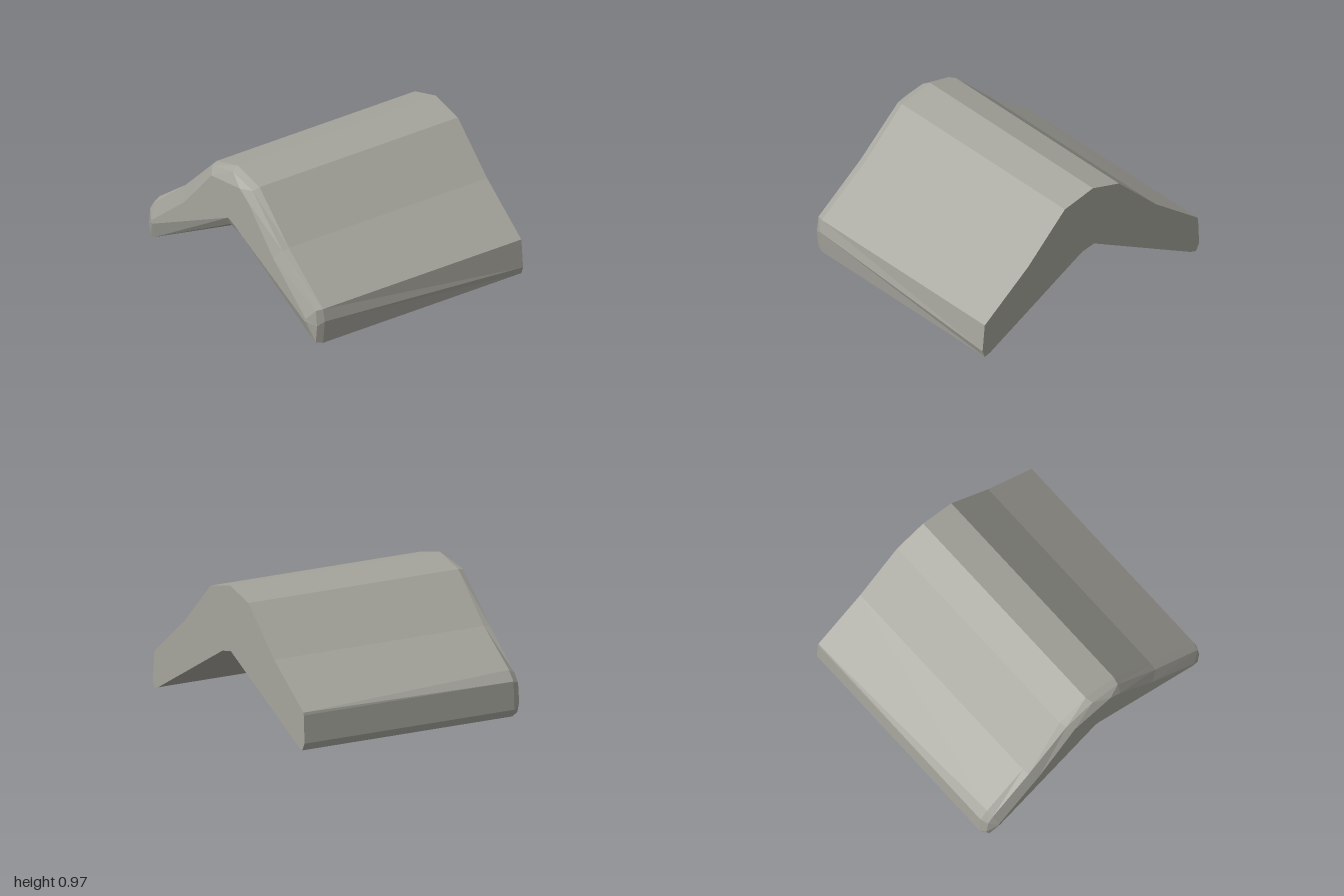
import * as THREE from 'three';

// Cross-sections, counter-clockwise seen from the front, starting at the right foot
const back = [
  [0.93, 0.02], [0.98, 0.005], [1, 0.06], [0.98, 0.27], [0.58, 0.58], [0.24, 0.91], [-0.02, 0.97], [-0.26, 0.9],
  [-0.6, 0.57], [-0.985, 0.28], [-0.99, 0.26], [-1, 0.06], [-0.97, 0.005], [-0.92, 0.02], [-0.03, 0.5], [0.08, 0.48],
];
// Same outline where the front bevel begins, with slightly worn corners
const shoulder = back.map((p) => [...p]);
shoulder[2] = [1, 0.18];
shoulder[9] = [-0.93, 0.33];
const bevel = [
  [0.93, 0.03], [0.965, 0.02], [0.98, 0.15], [0.965, 0.265], [0.575, 0.57], [0.23, 0.893], [0, 0.945], [-0.24, 0.89],
  [-0.595, 0.56], [-0.92, 0.3], [-0.965, 0.24], [-0.98, 0.1], [-0.955, 0.025], [-0.91, 0.035], [-0.03, 0.52], [0.07, 0.5],
];
const face = [
  [0.89, 0.16], [0.9, 0.165], [0.905, 0.17], [0.9, 0.185], [0.52, 0.5], [0.22, 0.82], [0.13, 0.88], [-0.2, 0.84],
  [-0.52, 0.49], [-0.88, 0.2], [-0.9, 0.185], [-0.905, 0.17], [-0.9, 0.165], [-0.89, 0.16], [-0.01, 0.59], [0.02, 0.585],
];

function createRoof(material) {
  const rings = [[back, -0.9], [shoulder, 0.81], [bevel, 0.862], [face, 0.9]];
  const n = back.length;
  const position = rings.flatMap(([ring, z]) => ring.flatMap(([x, y]) => [x, y, z]));
  const index = [];
  // Sides between neighbouring cross-sections
  for (let r = 0; r < rings.length - 1; r++) {
    for (let i = 0; i < n; i++) {
      const a = r * n + i, b = r * n + (i + 1) % n;
      index.push(a, b, b + n, a, b + n, a + n);
    }
  }
  // Flat back and inset front
  const cap = (ring) => THREE.ShapeUtils.triangulateShape(ring.map(([x, y]) => new THREE.Vector2(x, y)), []);
  for (const [a, b, c] of cap(back)) index.push(a, c, b);
  const start = (rings.length - 1) * n;
  for (const [a, b, c] of cap(face)) index.push(start + a, start + b, start + c);

  const indexed = new THREE.BufferGeometry();
  indexed.setAttribute('position', new THREE.Float32BufferAttribute(position, 3));
  indexed.setIndex(index);
  const geometry = indexed.toNonIndexed();
  geometry.computeVertexNormals();
  const mesh = new THREE.Mesh(geometry, material);
  mesh.name = 'ridgeStone';
  return mesh;
}

export function createModel() {
  const stone = new THREE.MeshStandardMaterial({ color: 0xa6a59d });
  stone.name = 'warm grey stone';
  stone.flatShading = true;
  const group = new THREE.Group();
  group.name = 'ridgeCap';
  group.add(createRoof(stone));
  return group;
}
